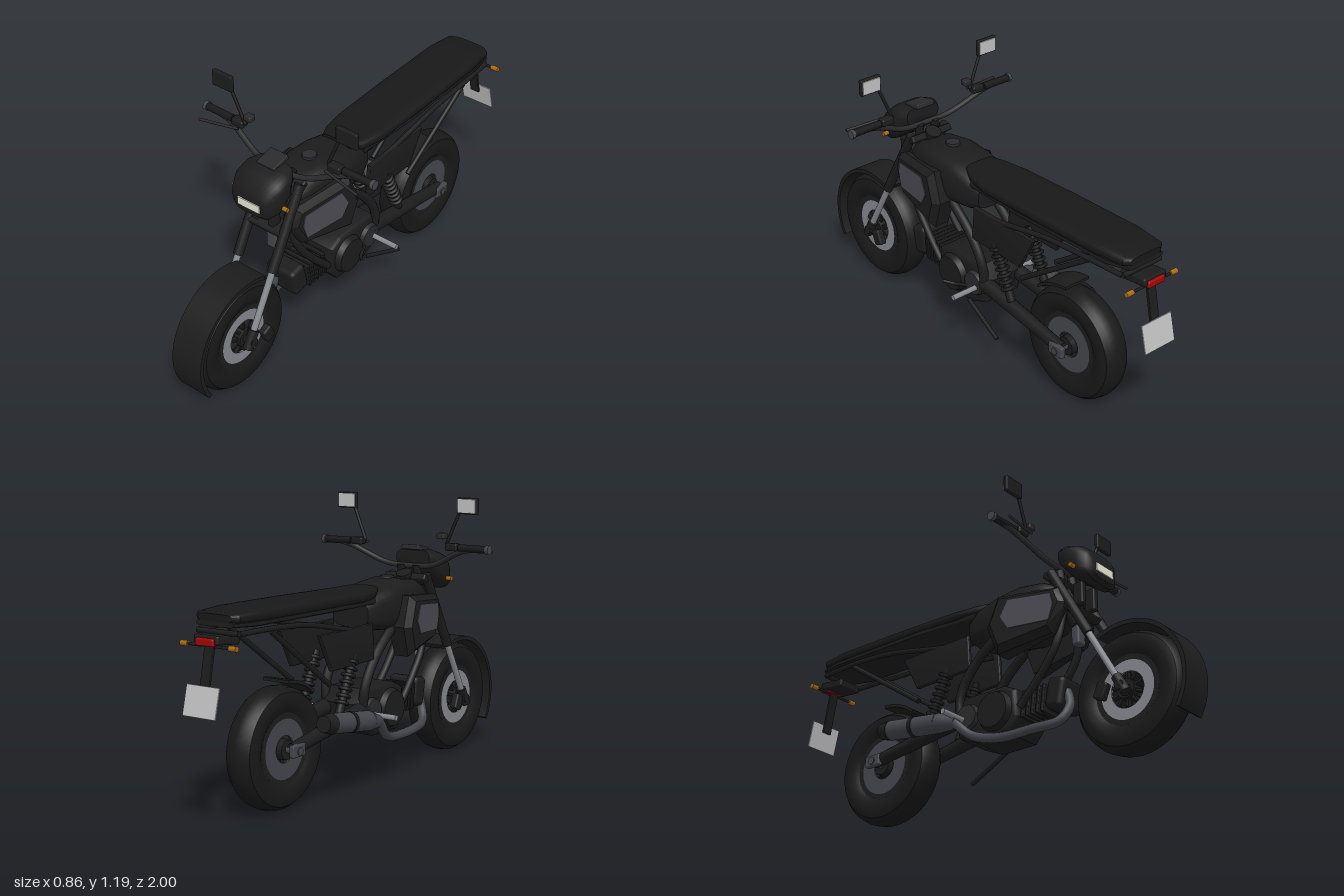
import * as THREE from 'three';
import { toCreasedNormals } from 'three/addons/utils/BufferGeometryUtils.js';
import { RoundedBoxGeometry } from 'three/addons/geometries/RoundedBoxGeometry.js';
import { ConvexGeometry } from 'three/addons/geometries/ConvexGeometry.js';

const mat = (name, color) => Object.assign(new THREE.MeshStandardMaterial({ color }), { name });
const black = mat('black', 0x1c1c1c), rubber = mat('rubber', 0x181818), graphite = mat('graphite', 0x2a2a2c);
const panel = mat('panel grey', 0x4a4a52), steel = mat('steel', 0x44464c), alloy = mat('alloy', 0x85888e);
const lamp = mat('headlight cream', 0xe6e6d8), silver = mat('silver', 0xc0c0c0);
const red = mat('red', 0xa00808), amber = mat('amber', 0xa86a14);
const V = (p) => new THREE.Vector3(...p);

export function createModel() {
  const root = new THREE.Group();
  const add = (name, geo, m, parent = root) => {
    const mesh = new THREE.Mesh(geo, m);
    mesh.name = name;
    parent.add(mesh);
    return mesh;
  };
  const both = (fn) => [1, -1].forEach(fn);
  const box = (name, size, pos, m, rx = 0) => {
    const b = add(name, new RoundedBoxGeometry(...size, 2, Math.min(...size) * 0.25), m);
    b.position.set(...pos);
    b.rotation.x = rx;
    return b;
  };
  const bar = (name, a, b, r, m, r2 = r, sides = 12) => {
    const p = V(a), q = V(b);
    const c = add(name, new THREE.CylinderGeometry(r2, r, p.distanceTo(q), sides), m);
    c.position.copy(p).add(q).multiplyScalar(0.5);
    c.quaternion.setFromUnitVectors(V([0, 1, 0]), q.sub(p).normalize());
    return c;
  };
  const tube = (name, pts, r, m) =>
    add(name, new THREE.TubeGeometry(new THREE.CatmullRomCurve3(pts.map(V)), 32, r, 10), m);
  // extrude a side outline given as [z, y], across the width
  const side = (name, outline, width, x, m, bevel = 0) => {
    const shape = outline instanceof THREE.Shape ? outline : new THREE.Shape(outline.map((p) => new THREE.Vector2(...p)));
    const depth = width - 2 * bevel;
    const g = new THREE.ExtrudeGeometry(shape, { depth, bevelEnabled: bevel > 0, bevelSize: bevel, bevelThickness: bevel, bevelSegments: 3, bevelOffset: -bevel, curveSegments: 32 });
    g.translate(0, 0, -depth / 2).rotateY(-Math.PI / 2).translate(x, 0, 0);
    return add(name, toCreasedNormals(g, 0.6), m);
  };
  // rounded body through sections [z, halfWidth, bottom, top], listed back to front
  const loft = (name, secs, m, power = 0.6, n = 32) => {
    const pos = [], idx = [];
    const bend = (v) => Math.sign(v) * Math.abs(v) ** power;
    secs.forEach(([z, w, lo, hi]) => {
      for (let j = 0; j < n; j++) {
        const t = (j / n) * Math.PI * 2;
        pos.push(w * bend(Math.cos(t)), (lo + hi) / 2 + ((hi - lo) / 2) * bend(Math.sin(t)), z);
      }
    });
    const last = secs.length - 1;
    for (let i = 0; i < last; i++) for (let j = 0; j < n; j++) {
      const k = (j + 1) % n, a = i * n + j, b = i * n + k;
      idx.push(a, b, b + n, a, b + n, a + n);
    }
    for (let j = 1; j < n - 1; j++) idx.push(0, j + 1, j, last * n, last * n + j, last * n + j + 1);
    const g = new THREE.BufferGeometry();
    g.setAttribute('position', new THREE.Float32BufferAttribute(pos, 3));
    g.setIndex(idx);
    return add(name, toCreasedNormals(g, 0.7), m);
  };
  // turned part around the axle; profile is [radius, offset along axle]
  const turned = (name, profile, m, parent) => {
    const g = new THREE.LatheGeometry(profile.map((p) => new THREE.Vector2(...p)), 48);
    return add(name, toCreasedNormals(g.rotateZ(-Math.PI / 2), 0.6), m, parent);
  };
  const ring = (name, r0, r1, x, w, m, parent) =>
    turned(name, [[r0, x - w], [r1, x - w], [r1, x + w], [r0, x + w], [r0, x - w]], m, parent);

  // wheels
  const wheel = (name, z, discR, discMat) => {
    const g = new THREE.Group();
    g.name = name;
    g.position.set(0, 0.255, z);
    root.add(g);
    turned('tyre', [[0.142, -0.048], [0.165, -0.062], [0.2, -0.067], [0.228, -0.058], [0.244, -0.036], [0.25, 0],
      [0.244, 0.036], [0.228, 0.058], [0.2, 0.067], [0.165, 0.062], [0.142, 0.048], [0.142, -0.048]], rubber, g);
    ring('rim', 0.122, 0.145, 0, 0.05, black, g);
    turned('hub', [[0, -0.065], [0.04, -0.065], [0.045, 0], [0.04, 0.065], [0, 0.065]], black, g);
    for (let i = 0; i < 6; i++) {
      const s = add('spoke', new THREE.BoxGeometry(0.07, 0.1, 0.02), black, g);
      const a = (i / 6) * Math.PI * 2;
      s.position.set(0, Math.cos(a) * 0.08, Math.sin(a) * 0.08);
      s.rotation.x = a;
    }
    both((s) => ring('brakeDisc', discR, 0.122, s * 0.046, 0.004, discMat, g));
    return g;
  };
  const front = wheel('frontWheel', 0.72, 0.075, alloy);
  wheel('rearWheel', -0.55, 0.055, steel);
  for (let i = 0; i < 10; i++) {
    const a = (i / 10) * Math.PI * 2;
    const b = add('discCarrier', new THREE.BoxGeometry(0.11, 0.035, 0.012), black, front);
    b.position.set(0, Math.cos(a) * 0.055, Math.sin(a) * 0.055);
    b.rotation.x = a;
  }

  // mudguards
  const guard = (name, z, r0, r1, from, to, w) => {
    const s = new THREE.Shape(), rad = Math.PI / 180;
    s.absarc(z, 0.255, r1, from * rad, to * rad, false);
    s.absarc(z, 0.255, r0, to * rad, from * rad, true);
    side(name, s, w, 0, black);
  };
  guard('frontFender', 0.72, 0.262, 0.28, -31, 115, 0.15);
  guard('rearFender', -0.55, 0.262, 0.275, 50, 88, 0.13);

  // forks, clamps and axle
  const forkZ = (y) => 0.584 + (0.51 - y) * 0.55;
  both((s) => {
    const at = (y, x = 0.09) => [s * x, y, forkZ(y)];
    bar('upperFork', at(0.52), at(0.85), 0.021, black);
    bar('lowerFork', at(0.27), at(0.53), 0.014, alloy);
    bar('forkFoot', at(0.225), at(0.3), 0.022, black);
    box('brakeCaliper', [0.035, 0.07, 0.05], [s * 0.105, 0.25, 0.64], black, 0.4);
  });
  bar('frontAxle', [-0.11, 0.255, 0.72], [0.11, 0.255, 0.72], 0.02, black);
  [0.67, 0.83].forEach((y) => box('forkClamp', [0.21, 0.03, 0.07], [0, y, forkZ(y) - 0.01], black, 0.5));
  bar('steeringHead', [0, 0.62, 0.47], [0, 0.86, 0.36], 0.035, black);
  box('horn', [0.05, 0.1, 0.04], [0, 0.585, 0.46], steel);
  both((s) => box('lampBracket', [0.03, 0.1, 0.05], [s * 0.04, 0.74, 0.5], black));

  // headlight cowl and gauge
  loft('headlightCowl', [[0.43, 0.085, 0.88, 0.955], [0.48, 0.115, 0.82, 0.955], [0.54, 0.118, 0.775, 0.938],
    [0.58, 0.1, 0.77, 0.905], [0.597, 0.075, 0.785, 0.865]], black, 0.6);
  side('headlight', [[0.59, 0.81], [0.602, 0.81], [0.602, 0.845], [0.59, 0.845]], 0.11, 0, lamp);
  box('gauge', [0.09, 0.022, 0.09], [0, 0.958, 0.45], graphite, 0.2);

  // handlebar, levers, mirrors
  tube('handlebar', [[-0.41, 0.982, 0.36], [-0.3, 0.97, 0.365], [-0.12, 0.895, 0.4], [0, 0.885, 0.41],
    [0.12, 0.895, 0.4], [0.3, 0.97, 0.365], [0.41, 0.982, 0.36]], 0.012, graphite);
  both((s) => {
    bar('barRiser', [s * 0.04, 0.83, 0.41], [s * 0.04, 0.89, 0.4], 0.018, black);
    bar('grip', [s * 0.28, 0.982, 0.362], [s * 0.42, 0.982, 0.36], 0.016, rubber);
    bar('barEnd', [s * 0.415, 0.982, 0.36], [s * 0.43, 0.982, 0.36], 0.02, steel);
    box('switchBlock', [0.06, 0.032, 0.04], [s * 0.245, 0.984, 0.365], black);
    bar('lever', [s * 0.22, 0.978, 0.4], [s * 0.4, 0.965, 0.432], 0.006, graphite);
    bar('mirrorStem', [s * 0.21, 0.99, 0.37], [s * 0.27, 1.13, 0.375], 0.007, black);
    box('mirror', [0.1, 0.07, 0.02], [s * 0.31, 1.16, 0.378], black);
    box('mirrorGlass', [0.088, 0.058, 0.006], [s * 0.31, 1.16, 0.367], silver);
    bar('frontIndicatorStem', [s * 0.09, 0.825, 0.53], [s * 0.118, 0.825, 0.53], 0.007, black);
    bar('frontIndicator', [s * 0.115, 0.825, 0.53], [s * 0.14, 0.825, 0.53], 0.01, amber);
  });
  box('brakeReservoir', [0.038, 0.026, 0.035], [-0.19, 1.028, 0.367], graphite);

  // tank and seat
  loft('tank', [[-0.04, 0.09, 0.67, 0.78], [0.02, 0.115, 0.65, 0.815], [0.12, 0.125, 0.64, 0.84], [0.23, 0.125, 0.62, 0.853],
    [0.34, 0.11, 0.64, 0.84], [0.4, 0.09, 0.67, 0.81], [0.43, 0.065, 0.7, 0.77]], black);
  bar('fillerCap', [0, 0.845, 0.23], [0, 0.86, 0.23], 0.032, graphite, 0.03, 24);
  loft('seat', [[-0.9, 0.08, 0.8, 0.83], [-0.88, 0.105, 0.795, 0.837], [-0.75, 0.12, 0.79, 0.842], [-0.4, 0.122, 0.785, 0.838],
    [-0.1, 0.118, 0.782, 0.832], [0, 0.1, 0.785, 0.834], [0.06, 0.07, 0.8, 0.838]], rubber, 0.5);
  loft('seatBase', [[-0.9, 0.09, 0.782, 0.804], [-0.8, 0.115, 0.776, 0.804], [-0.3, 0.118, 0.77, 0.8], [0, 0.1, 0.765, 0.8]], black, 0.4);

  // side shrouds with grey insets, flaring towards the rear
  const flare = (z) => 0.13 + (0.45 - z) * 0.18;
  both((s) => {
    const rim = [[0.485, 0.69], [0.45, 0.765], [0.17, 0.79], [0.12, 0.66], [0.165, 0.53], [0.41, 0.57]];
    const face = [[0.455, 0.69], [0.435, 0.745], [0.19, 0.765], [0.15, 0.66], [0.185, 0.56], [0.405, 0.595]];
    const inset = [[0.435, 0.68], [0.425, 0.73], [0.235, 0.748], [0.2, 0.68], [0.235, 0.622], [0.415, 0.615]];
    const put = (list, x) => list.map(([z, y]) => V([s * x(z), y, z]));
    const hull = (...sets) => new ConvexGeometry(sets.flat());
    add('shroud', hull(put(face, flare), put(rim, (z) => flare(z) - 0.028), put(rim, () => 0.085)), black);
    add('shroudInset', hull(put(inset, (z) => flare(z) + 0.004), put(inset, (z) => flare(z) - 0.004)), panel);
    side('sidePanel', [[-0.03, 0.695], [-0.02, 0.54], [-0.315, 0.535], [-0.395, 0.69]], 0.02, s * 0.1, black, 0.005);
  });

  // frame, subframe, swingarm and shocks
  both((s) => {
    tube('downTube', [[s * 0.04, 0.7, 0.42], [s * 0.07, 0.54, 0.4], [s * 0.075, 0.42, 0.32], [s * 0.08, 0.31, 0.22]], 0.017, black);
    tube('mainTube', [[s * 0.08, 0.7, 0.22], [s * 0.095, 0.64, 0.11], [s * 0.1, 0.55, 0], [s * 0.1, 0.43, -0.075], [s * 0.09, 0.3, -0.08]], 0.02, black);
    tube('seatRail', [[s * 0.09, 0.67, -0.05], [s * 0.1, 0.69, -0.2], [s * 0.11, 0.745, -0.48], [s * 0.11, 0.76, -0.7], [s * 0.1, 0.76, -0.88]], 0.011, black);
    bar('seatBrace', [s * 0.105, 0.75, -0.7], [s * 0.095, 0.48, -0.315], 0.011, black);
    bar('swingarm', [s * 0.085, 0.34, -0.06], [s * 0.095, 0.262, -0.56], 0.034, black, 0.026);
    box('axlePlate', [0.025, 0.05, 0.08], [s * 0.113, 0.26, -0.55], steel);
    const top = V([s * 0.095, 0.58, -0.15]), end = V([s * 0.095, 0.34, -0.255]);
    bar('shockBody', top.toArray(), end.toArray(), 0.018, black);
    for (let i = 0; i < 7; i++) {
      const coil = add('shockCoil', new THREE.TorusGeometry(0.024, 0.008, 6, 16), black);
      coil.position.lerpVectors(top, end, 0.12 + i * 0.11);
      coil.quaternion.setFromUnitVectors(V([0, 0, 1]), end.clone().sub(top).normalize());
    }
  });
  bar('rearAxle', [-0.13, 0.258, -0.55], [0.13, 0.258, -0.55], 0.016, steel);
  bar('rearCrossbar', [-0.1, 0.76, -0.88], [0.1, 0.76, -0.88], 0.011, black);

  // engine
  side('crankcase', [[0.21, 0.39], [0.15, 0.42], [-0.06, 0.42], [-0.11, 0.36], [-0.09, 0.25], [0, 0.21], [0.17, 0.21], [0.22, 0.27]], 0.2, 0, black, 0.02);
  both((s) => {
    bar('engineCover', [s * 0.09, 0.315, 0.11], [s * 0.125, 0.315, 0.11], 0.09, black, 0.075, 28);
    bar('sprocketCover', [s * 0.09, 0.325, -0.03], [s * 0.118, 0.325, -0.03], 0.06, graphite, 0.05, 24);
    bar('footpeg', [s * 0.1, 0.315, -0.05], [s * 0.24, 0.315, -0.05], 0.012, alloy);
  });
  for (let i = 0; i < 5; i++) box('cylinderFin', [0.15, 0.115, 0.014], [0, 0.325, 0.23 + i * 0.025], black, 0.12);
  box('cylinder', [0.12, 0.09, 0.14], [0, 0.32, 0.27], black, 0.12);
  box('cylinderHead', [0.15, 0.13, 0.085], [0, 0.335, 0.385], black, 0.2);
  tube('gearLever', [[0.11, 0.3, 0], [0.135, 0.29, 0.06], [0.17, 0.3, 0.1]], 0.007, black);
  bar('kickstand', [0.11, 0.23, 0], [0.135, 0.145, -0.21], 0.009, black);

  // exhaust
  tube('exhaustPipe', [[-0.03, 0.34, 0.42], [-0.04, 0.27, 0.44], [-0.07, 0.205, 0.41], [-0.1, 0.19, 0.3], [-0.115, 0.19, 0.13],
    [-0.14, 0.22, 0.02], [-0.16, 0.29, -0.06], [-0.16, 0.31, -0.12]], 0.02, steel);
  bar('mufflerCone', [-0.155, 0.29, -0.05], [-0.16, 0.31, -0.14], 0.024, steel, 0.042, 24);
  bar('muffler', [-0.16, 0.31, -0.14], [-0.165, 0.345, -0.4], 0.042, steel, 0.042, 24);
  bar('mufflerBand', [-0.163, 0.327, -0.26], [-0.163, 0.329, -0.28], 0.044, black, 0.044, 24);
  bar('mufflerCap', [-0.165, 0.345, -0.4], [-0.165, 0.352, -0.45], 0.043, black, 0.034, 24);

  // tail light, indicators and number plate
  box('tailHousing', [0.12, 0.035, 0.13], [0, 0.735, -0.89], black, 0.1);
  box('tailLight', [0.09, 0.03, 0.05], [0, 0.732, -0.94], red);
  both((s) => {
    bar('rearIndicatorStem', [s * 0.03, 0.715, -0.935], [s * 0.105, 0.715, -0.935], 0.006, black);
    bar('rearIndicator', [s * 0.1, 0.715, -0.935], [s * 0.135, 0.715, -0.935], 0.011, amber);
  });
  box('plateBracket', [0.045, 0.19, 0.012], [0, 0.625, -0.947], black, 0.2);
  box('numberPlate', [0.16, 0.12, 0.006], [0, 0.512, -0.983], silver, 0.24);
  return root;
}
